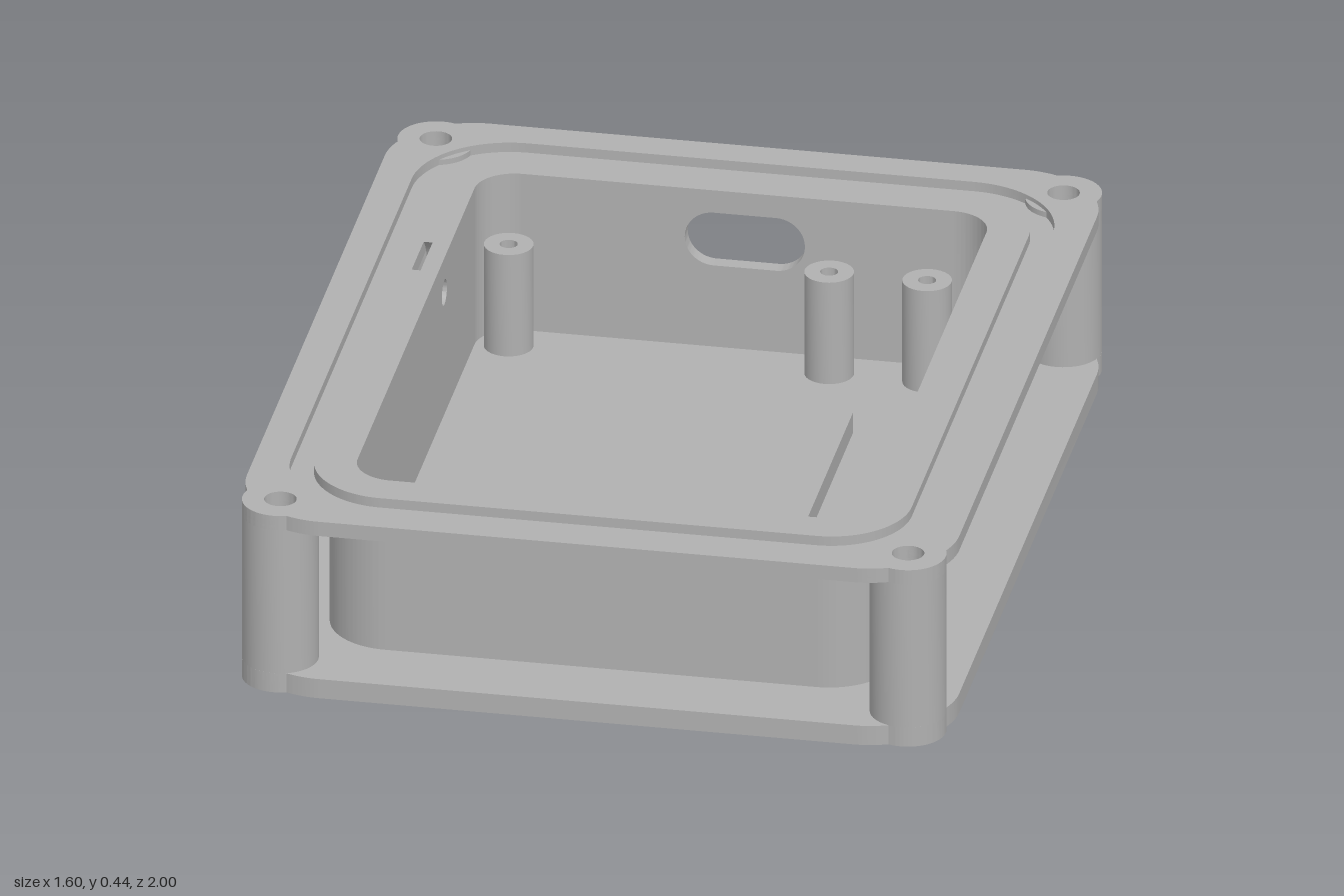
import * as THREE from 'three';
import { toCreasedNormals } from 'three/addons/utils/BufferGeometryUtils.js';

const HEIGHT = 0.435, FLOOR = 0.05, FLANGE = 0.4, CHANNEL = 0.412;
const W = 0.635, D = 0.83, R = 0.15, T = 0.06;   // outer half sizes, corner radius, wall thickness
const CX = W - R, CZ = D - R;
const SCREW = [0.705, 0.905];

export function createModel() {
  const model = new THREE.Group();
  model.name = 'enclosureBase';
  const grey = new THREE.MeshStandardMaterial({ color: 0xb0b0b0 });
  grey.name = 'grey';

  const add = (name, geometry, x = 0, y = 0, z = 0) => {
    const mesh = new THREE.Mesh(geometry, grey);
    mesh.name = name;
    mesh.position.set(x, y, z);
    model.add(mesh);
    return mesh;
  };
  const extrude = (shape, depth) => toCreasedNormals(
    new THREE.ExtrudeGeometry(shape, { depth, bevelEnabled: false, curveSegments: 20 }), 0.5);
  // Horizontal slab from y0 to y1; shape y becomes -z
  const slab = (name, shape, y0, y1) =>
    add(name, extrude(shape, y1 - y0).rotateX(-Math.PI / 2), 0, y0, 0);

  const roundedRect = (shape, w, d, r) => {
    [[1, 1], [-1, 1], [-1, -1], [1, -1]].forEach(([sx, sy], i) =>
      shape.absarc(sx * (w - r), sy * (d - r), r, i * Math.PI / 2, (i + 1) * Math.PI / 2, false));
    shape.closePath();
    return shape;
  };
  const circle = (x, y, r) => new THREE.Path().absarc(x, y, r, 0, Math.PI * 2, true);
  const oval = (x, y, halfLength, r) => {
    const path = new THREE.Path();
    path.absarc(x + halfLength - r, y, r, -Math.PI / 2, Math.PI / 2, false);
    path.absarc(x - halfLength + r, y, r, Math.PI / 2, Math.PI * 1.5, false);
    path.closePath();
    return path;
  };

  // Flange outline: rounded corners with round screw lobes standing out of them
  const flangeShape = (holeRadius) => {
    const shape = new THREE.Shape();
    const a = 0.394, b = 1.133, q = Math.PI / 4;
    [[1, 1], [-1, 1], [-1, -1], [1, -1]].forEach(([sx, sy], i) => {
      const t = i * Math.PI / 2;
      shape.absarc(sx * 0.6, sy * 0.8, 0.2, t, t + q - a, false);
      shape.absarc(sx * SCREW[0], sy * SCREW[1], 0.085, t + q - b, t + q + b, false);
      shape.absarc(sx * 0.6, sy * 0.8, 0.2, t + q + a, t + Math.PI / 2, false);
      shape.holes.push(circle(sx * SCREW[0], sy * SCREW[1], holeRadius));
    });
    shape.closePath();
    return shape;
  };

  // Bottom plate
  slab('bottomPlate', flangeShape(0.062), 0, FLOOR - 0.003);
  slab('cavityFloor', roundedRect(new THREE.Shape(), W - 0.01, D - 0.01, R), FLOOR - 0.005, FLOOR);

  // Top flange with a seal channel around the wall
  const flangeBase = flangeShape(0.036);
  flangeBase.holes.push(roundedRect(new THREE.Path(), W, D, R));
  slab('topFlange', flangeBase, FLANGE, CHANNEL);
  const flangeRim = flangeShape(0.036);
  flangeRim.holes.push(roundedRect(new THREE.Path(), 0.72, 0.92, 0.22));
  slab('topFlangeRim', flangeRim, CHANNEL, HEIGHT);
  const lip = roundedRect(new THREE.Shape(), 0.67, 0.86, 0.18);
  lip.holes.push(roundedRect(new THREE.Path(), W, D, R));
  slab('sealLip', lip, CHANNEL, HEIGHT);

  // Corner screw columns, counterbored from below
  const profile = [[0.036, HEIGHT - 0.01], [0.036, 0.1], [0.062, 0.1], [0.062, 0.01],
    [0.085, 0.01], [0.085, HEIGHT - 0.01], [0.036, HEIGHT - 0.01]]
    .map(([x, y]) => new THREE.Vector2(x, y));
  for (const sx of [-1, 1]) for (const sz of [-1, 1]) {
    const geometry = toCreasedNormals(new THREE.LatheGeometry(profile, 40), 0.5);
    add('screwColumn', geometry, sx * SCREW[0], 0, sz * SCREW[1]);
  }

  // Rounded wall corners
  for (let i = 0; i < 4; i++) {
    const sx = i === 0 || i === 3 ? 1 : -1, sy = i < 2 ? 1 : -1, t = i * Math.PI / 2;
    const corner = new THREE.Shape();
    corner.absarc(sx * CX, sy * CZ, R, t, t + Math.PI / 2, false);
    corner.absarc(sx * CX, sy * CZ, R - T, t + Math.PI / 2, t, true);
    corner.closePath();
    slab('wallCorner', corner, FLOOR - 0.005, HEIGHT);
  }

  // Plain front and left walls
  const wallHeight = HEIGHT - FLOOR + 0.005, wallY = FLOOR - 0.005 + wallHeight / 2;
  add('frontWall', new THREE.BoxGeometry(2 * CX, wallHeight, T), 0, wallY, D - T / 2);
  add('leftWall', new THREE.BoxGeometry(T, wallHeight, 2 * CZ), W - T / 2, wallY, 0);

  const panel = (half) => {
    const shape = new THREE.Shape();
    shape.moveTo(-half, FLOOR - 0.005).lineTo(half, FLOOR - 0.005);
    shape.lineTo(half, HEIGHT).lineTo(-half, HEIGHT).closePath();
    return shape;
  };

  // Back wall: oval port with a wider recess outside
  const backOuter = panel(CX), backInner = panel(CX);
  backOuter.holes.push(oval(0.015, 0.315, 0.185, 0.11));
  backInner.holes.push(oval(0.015, 0.315, 0.135, 0.065));
  add('backWallOuter', extrude(backOuter, 0.025), 0, 0, -D);
  add('backWallInner', extrude(backInner, T - 0.025), 0, 0, -D + 0.025);

  // Right wall: round hole, its outer recess breaking through the top edge
  const u = 0.33, v = 0.35, r = 0.11;
  const end = Math.asin((HEIGHT - v) / r);
  const rightOuter = new THREE.Shape();
  rightOuter.moveTo(-CZ, FLOOR - 0.005).lineTo(CZ, FLOOR - 0.005).lineTo(CZ, HEIGHT);
  rightOuter.absarc(u, v, r, end, -Math.PI - end, true);
  rightOuter.lineTo(-CZ, HEIGHT).closePath();
  const rightInner = panel(CZ);
  rightInner.holes.push(circle(u, v, 0.03));
  add('rightWallOuter', extrude(rightOuter, 0.02).rotateY(Math.PI / 2), -W, 0, 0);
  add('rightWallInner', extrude(rightInner, T - 0.02).rotateY(Math.PI / 2), -W + 0.02, 0, 0);

  // Board posts with pilot holes
  const post = [[0, 0.2], [0.02, 0.2], [0.02, 0.3], [0.055, 0.3], [0.055, FLOOR - 0.005]]
    .reverse().map(([x, y]) => new THREE.Vector2(x, y));
  for (const [x, z] of [[-0.5, -0.69], [0.22, -0.69], [0.44, -0.69], [0.44, 0.68]]) {
    add('boardPost', toCreasedNormals(new THREE.LatheGeometry(post, 32), 0.5), x, 0, z);
  }

  // Floor rib and the thickened step inside the front wall
  add('floorRib', new THREE.BoxGeometry(0.027, 0.055, 1.12), 0.314, 0.0725, 0.15);
  add('frontStep', new THREE.BoxGeometry(1.14, 0.255, 0.06), 0, 0.1725, 0.745);

  return model;
}
